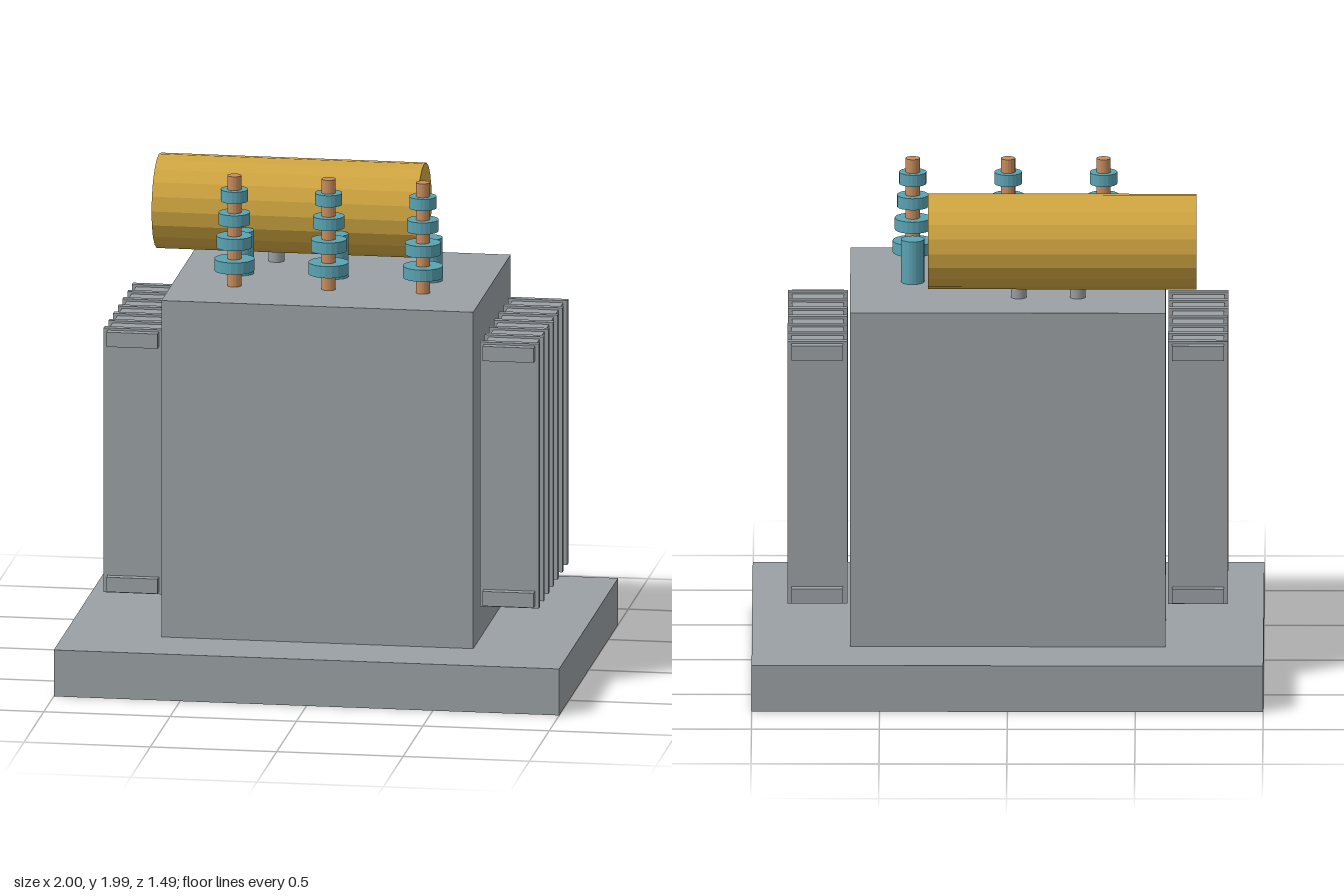
import * as THREE from 'three';

const material = (name, color, flatShading = false) => {
  const m = new THREE.MeshStandardMaterial({ color, flatShading });
  m.name = name;
  return m;
};

export function createModel() {
  const grey = material('steel grey', 0x9aa0a4);
  const gold = material('ochre yellow', 0xd0a540, true);
  const teal = material('glazed teal', 0x5aa3b3, true);
  const copper = material('copper', 0xc68d5d, true);

  const model = new THREE.Group();
  model.name = 'powerTransformer';

  const add = (parent, name, geometry, mat, x, y, z) => {
    const mesh = new THREE.Mesh(geometry, mat);
    mesh.name = name;
    mesh.position.set(x, y, z);
    parent.add(mesh);
    return mesh;
  };
  // Box given by its ranges in y
  const box = (parent, name, w, y0, y1, d, x = 0, z = 0) =>
    add(parent, name, new THREE.BoxGeometry(w, y1 - y0, d), grey, x, (y0 + y1) / 2, z);
  // Upright cylinder given by its range in y
  const post = (parent, name, r, y0, y1, sides, mat, x, z) =>
    add(parent, name, new THREE.CylinderGeometry(r, r, y1 - y0, sides), mat, x, (y0 + y1) / 2, z);

  const deck = 1.542;
  box(model, 'plinth', 2, 0, 0.187, 1.494);
  box(model, 'tank', 1.234, 0.187, deck, 0.946);

  // Radiator banks on both sides: seven fins joined by two headers
  for (const side of [1, -1]) {
    const bank = new THREE.Group();
    bank.name = side > 0 ? 'leftRadiator' : 'rightRadiator';
    const x = side * 0.744;
    for (let i = -3; i <= 3; i++) box(bank, 'fin', 0.234, 0.333, 1.398, 0.028, x, i * 0.119);
    box(bank, 'lowerHeader', 0.202, 0.343, 0.402, 0.81, x);
    box(bank, 'upperHeader', 0.202, 1.33, 1.389, 0.81, x);
    model.add(bank);
  }

  // Oil conservator lying along x on two short supports
  const drum = add(model, 'conservator', new THREE.CylinderGeometry(0.187, 0.187, 1.05, 20),
    gold, -0.213, 1.767, -0.238);
  drum.rotation.z = Math.PI / 2;
  for (const x of [-0.273, -0.043])
    post(model, 'conservatorSupport', 0.032, deck, 1.65, 10, grey, x, -0.238);

  // Three high voltage bushings with tapering sheds, and low voltage posts behind
  for (const x of [-0.373, 0, 0.373]) {
    const bushing = new THREE.Group();
    bushing.name = 'highVoltageBushing';
    post(bushing, 'conductor', 0.028, deck, 1.986, 16, copper, x, 0.187);
    for (let i = 0; i < 4; i++) {
      const y = 1.628 + i * 0.093;
      post(bushing, 'shed', 0.079 - i * 0.0084, y - 0.0235, y + 0.0235, 20, teal, x, 0.187);
    }
    model.add(bushing);
    post(model, 'lowVoltageBushing', 0.046, deck, 1.715, 20, teal, x, -0.018);
  }

  return model;
}
